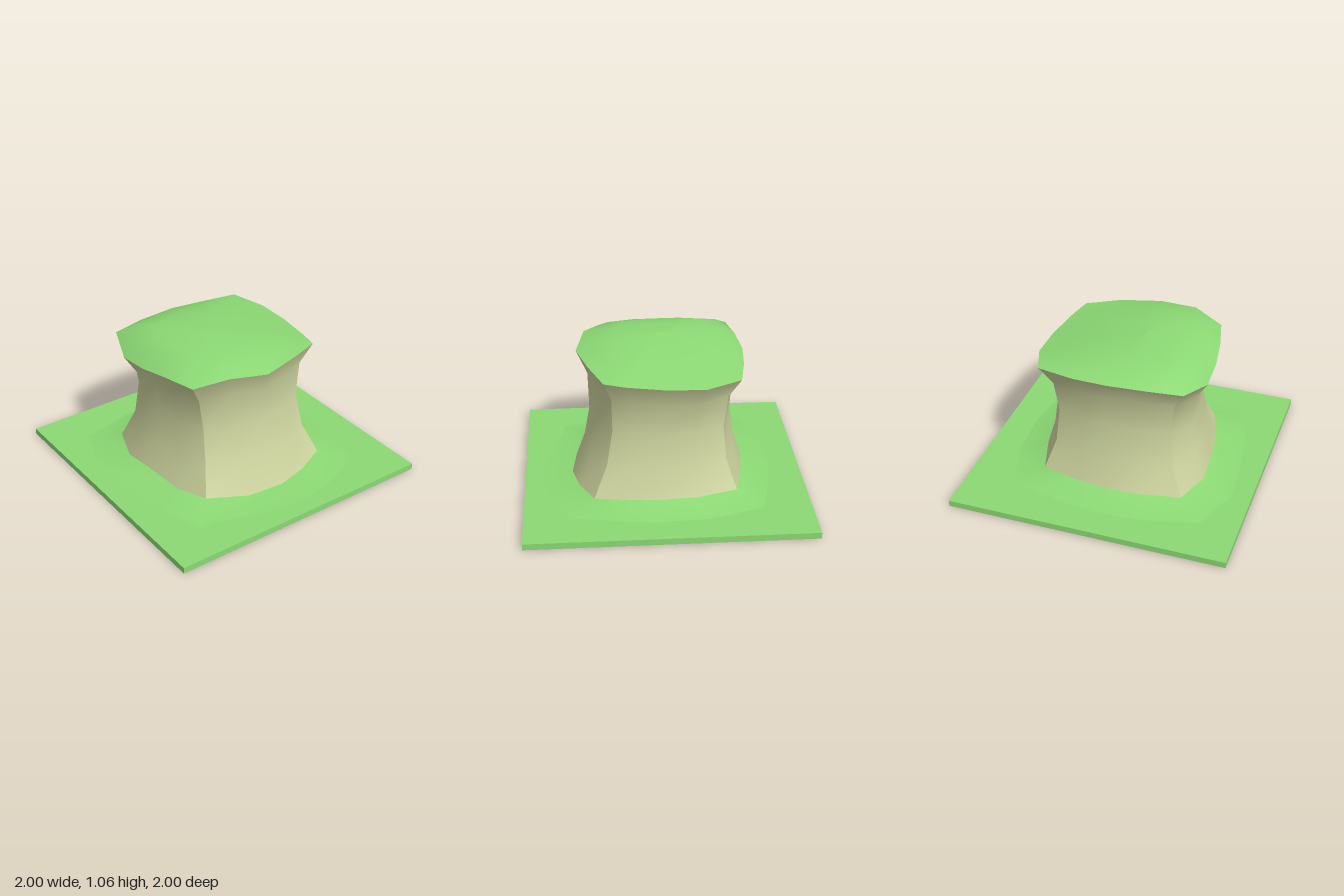
import * as THREE from 'three';

const GRASS = 0x8cd974;
const STONE = 0xcfd6a0;

// Rock outlines, four points per side, starting at the front right corner and running towards +x.
const RIM = [
  [-0.51, 0.95, 0.54], [-0.25, 0.895, 0.635], [-0.02, 0.915, 0.63], [0.2, 0.945, 0.6],
  [0.45, 0.95, 0.54], [0.55, 1.0, 0.32], [0.61, 0.97, 0.04], [0.53, 0.97, -0.25],
  [0.43, 0.95, -0.49], [0.28, 0.94, -0.53], [0.0, 0.93, -0.575], [-0.26, 0.93, -0.58],
  [-0.5, 0.95, -0.49], [-0.55, 0.95, -0.22], [-0.57, 0.96, 0.02], [-0.55, 0.96, 0.3],
];
const FOOT = [
  [-0.5, 0.09, 0.54], [-0.24, 0.09, 0.635], [0, 0.105, 0.62], [0.3, 0.08, 0.58],
  [0.535, 0.1, 0.5], [0.63, 0.055, 0.2], [0.66, 0.06, -0.07], [0.61, 0.07, -0.29],
  [0.51, 0.085, -0.51], [0.32, 0.09, -0.55], [0.08, 0.1, -0.585], [-0.2, 0.1, -0.57],
  [-0.49, 0.1, -0.48], [-0.55, 0.1, -0.22], [-0.58, 0.1, 0], [-0.57, 0.1, 0.25],
];

// Joins rings of points, listed bottom-up or outside-in, into one smooth skin.
function loft(rings, closed) {
  const n = rings[0].length;
  const index = [];
  for (let r = 0; r < rings.length - 1; r++) {
    for (let i = 0; i < (closed ? n : n - 1); i++) {
      const j = (i + 1) % n;
      const a = r * n + i, b = r * n + j, c = a + n, d = b + n;
      index.push(a, b, d, a, d, c);
    }
  }
  const geometry = new THREE.BufferGeometry();
  geometry.setAttribute('position', new THREE.Float32BufferAttribute(rings.flat(2), 3));
  geometry.setIndex(index);
  geometry.computeVertexNormals();
  return geometry;
}

export function createModel() {
  const model = new THREE.Group();
  const grass = new THREE.MeshStandardMaterial({ color: GRASS });
  const stone = new THREE.MeshStandardMaterial({ color: STONE });
  const add = (name, geometry, material, parent = model) => {
    const mesh = new THREE.Mesh(geometry, material);
    mesh.name = name;
    parent.add(mesh);
    return mesh;
  };

  // Ground tile
  add('groundTile', new THREE.BoxGeometry(2, 0.045, 2), grass).position.y = 0.0225;

  // Grass rising gently to the foot of the rock
  const skirt = [[1.36, 0], [1.18, 0.35], [1, 1]].map(([s, t]) =>
    FOOT.map(([x, y, z]) => [x * s, 0.044 + (y - 0.044) * t, z * s]));
  add('grassSkirt', loft(skirt, true), grass);

  // Waisted rock: height fraction, scale at corners, scale along the sides
  const levels = [[0, 1, 1], [0.25, 0.85, 0.89], [0.54, 0.8, 0.83], [0.82, 0.85, 0.86], [1, 1, 1]];
  const rock = levels.map(([t, corner, side]) => FOOT.map((foot, i) => {
    const s = i % 4 === 0 ? corner : side;
    const [x, y, z] = foot.map((v, k) => v + (RIM[i][k] - v) * t);
    return [x * s, y, z * s];
  }));
  const walls = new THREE.Group();
  walls.name = 'rockWalls';
  model.add(walls);
  ['front', 'left', 'back', 'right'].forEach((name, side) => {
    const strip = rock.map((ring) => [0, 1, 2, 3, 4].map((k) => ring[(side * 4 + k) % 16]));
    add(name + 'Wall', loft(strip, false), stone, walls);
  });

  // Domed grass cap, fuller towards the front
  const cz = 0.12;
  const cap = [[1, 0], [0.82, 0.62], [0.6, 0.93], [0.3, 1], [0, 1]].map(([s, t]) =>
    RIM.map(([x, y, z]) => {
      const pz = cz + (z - cz) * s;
      const dome = 1.063 - 0.12 * Math.max(0, cz - pz) - 0.03 * s * s;
      return [x * s, y + (dome - y) * t, pz];
    }));
  add('grassCap', loft(cap, true), grass);

  return model;
}
